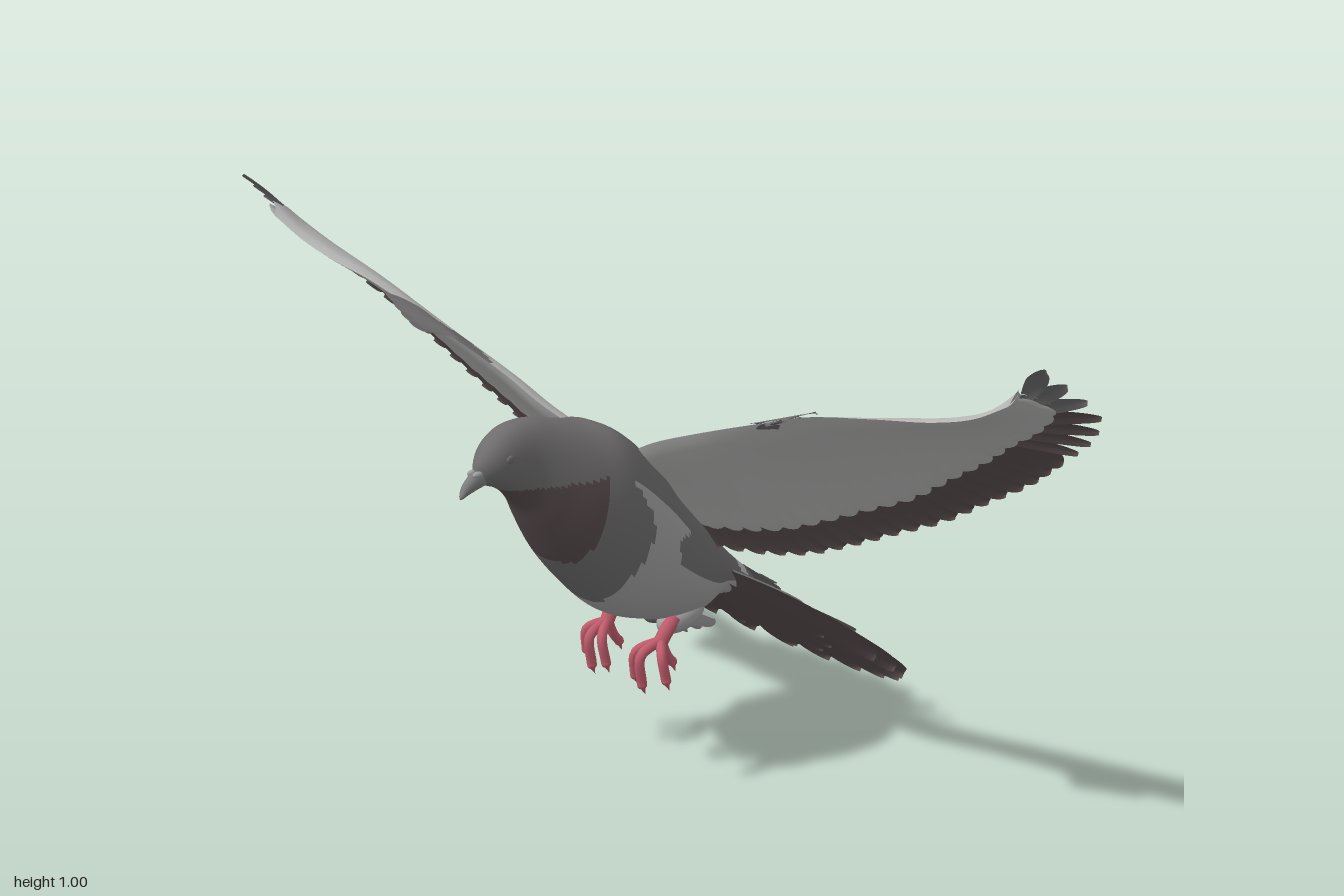
import * as THREE from 'three';
import { mergeVertices } from 'three/addons/utils/BufferGeometryUtils.js';

const V = (x, y, z) => new THREE.Vector3(x, y, z);
const mat = (name, color) =>
  Object.assign(new THREE.MeshStandardMaterial({ color, side: THREE.DoubleSide }), { name });
const curve = (pts) => new THREE.CatmullRomCurve3(pts.map((p) => V(...p)));

// Grid surface f(u, v); pick chooses a material slot for each cell
function surface(f, nu, nv, pick = () => 0, flip = false) {
  const pos = [], slots = [];
  for (let i = 0; i <= nu; i++)
    for (let j = 0; j <= nv; j++) pos.push(...f(i / nu, j / nv).toArray());
  for (let i = 0; i < nu; i++) {
    for (let j = 0; j < nv; j++) {
      const a = i * (nv + 1) + j, b = a + nv + 1;
      const u = (i + 0.5) / nu, v = (j + 0.5) / nv;
      const tris = flip ? [a, a + 1, b, b, a + 1, b + 1] : [a, b, a + 1, b, b + 1, a + 1];
      const k = pick(u, v, f(u, v));
      (slots[k] = slots[k] || []).push(...tris);
    }
  }
  let g = new THREE.BufferGeometry();
  g.setAttribute('position', new THREE.Float32BufferAttribute(pos, 3));
  const index = [], groups = [];
  slots.forEach((s, k) => {
    groups.push([index.length, s.length, k]);
    for (const n of s) index.push(n);
  });
  g.setIndex(index);
  g = mergeVertices(g, 1e-5);
  g.clearGroups();
  groups.forEach((q) => g.addGroup(...q));
  g.computeVertexNormals();
  return g;
}

// Thin feather from base to tip, w half wide, tapering over the part after 'round'
function feather(base, tip, w, n, round, arch = () => 0, tilt = 0.003) {
  const dir = tip.clone().sub(base).normalize();
  const side = dir.clone().cross(n).normalize();
  return surface((u, q) => {
    const t = 1 - (1 - q) * (1 - q);
    const s = u * 2 - 1, e = Math.max(0, (t - round) / (1 - round));
    const half = w * (0.35 + 0.65 * Math.min(1, t * 1.7)) * Math.sqrt(Math.max(0, 1 - e * e));
    return base.clone().lerp(tip, t).addScaledVector(side, half * s)
      .addScaledVector(n, arch(t) + tilt * s + 0.002 * (1 - s * s));
  }, 4, 16);
}

function mirrored(g) {
  const m = g.clone().scale(-1, 1, 1), ix = m.index;
  for (let i = 0; i < ix.count; i += 3) {
    const a = ix.getX(i);
    ix.setX(i, ix.getX(i + 1));
    ix.setX(i + 1, a);
  }
  return m;
}

export function createModel() {
  const slate = mat('slate plumage', 0x6e6c6c), belly = mat('belly grey', 0xa0a0a0);
  const breast = mat('breast brown', 0x574b4d), pale = mat('pale coverts', 0xb6b7b5);
  const flight = mat('flight feather brown', 0x574b4b);
  const pink = mat('foot pink', 0xc05c6c), horn = mat('beak horn', 0x7c7d7d);

  const bird = new THREE.Group();
  bird.name = 'bird';
  const add = (name, g, m) => {
    const mesh = new THREE.Mesh(g, m);
    mesh.name = name;
    bird.add(mesh);
  };
  const pair = (name, g, m) => {
    add(name + 'Left', g, m);
    add(name + 'Right', mirrored(g), m);
  };

  // Body: rings between a back line and a belly line; each row is
  // [back z, back y, belly z, belly y, half width]
  const rows = [
    [0.470, 0.670, 0.468, 0.655, 0.003], [0.460, 0.690, 0.452, 0.642, 0.020],
    [0.437, 0.716, 0.430, 0.632, 0.035], [0.400, 0.735, 0.402, 0.612, 0.045],
    [0.350, 0.737, 0.376, 0.580, 0.056], [0.300, 0.725, 0.348, 0.530, 0.076],
    [0.240, 0.708, 0.300, 0.455, 0.104], [0.180, 0.690, 0.240, 0.385, 0.125],
    [0.100, 0.620, 0.170, 0.320, 0.136], [0.040, 0.540, 0.090, 0.287, 0.132],
    [-0.020, 0.478, 0.030, 0.270, 0.116], [-0.080, 0.420, -0.030, 0.262, 0.092],
    [-0.140, 0.362, -0.090, 0.275, 0.066], [-0.210, 0.300, -0.180, 0.255, 0.044],
    [-0.270, 0.235, -0.255, 0.215, 0.008],
  ];
  const back = curve(rows.map((r) => [r[4], r[1], r[0]]));
  const keel = curve(rows.map((r) => [0, r[3], r[2]]));
  const bodyAt = (u, v) => {
    const a = v * Math.PI * 2, t = back.getPoint(u), b = keel.getPoint(u), w = Math.max(t.x, 0.002);
    const s = Math.sin(a), shoulder = THREE.MathUtils.smoothstep(u, 0.4, 0.5) * Math.max(0, Math.cos(a));
    t.x = 0;
    const p = b.lerp(t, 0.5 + 0.5 * Math.cos(a));
    p.x = Math.sign(s) * Math.pow(Math.abs(s), 0.88 - 0.2 * shoulder) * w;
    return p;
  };
  const bodyColour = (u, v, p) => {
    const up = Math.cos(v * Math.PI * 2);
    if (p.y > 0.465 && p.y < 0.625 && p.z > 0.245 + (0.625 - p.y) * 0.27) return 2;
    if (p.z < -0.155 && p.z > -0.185 && up > 0.4) return 3;
    if (p.z < 0.1 && up > -0.1 && !(p.y > 0.475 && up < 0.5)) return 0;
    const edge = 0.19 + 0.025 * Math.cos((p.y - 0.38) * 22);
    return p.z < edge && up < 0.5 ? 1 : 0;
  };
  add('body', surface(bodyAt, 140, 88, bodyColour, true), [slate, belly, breast, pale]);

  // Beak: hooked taper with a cere on top
  const beakLine = curve([[0, 0.662, 0.445], [0, 0.652, 0.475], [0, 0.641, 0.495], [0, 0.63, 0.505]]);
  add('beak', surface((u, v) => {
    const a = v * Math.PI * 2, r = 0.019 * Math.pow(1 - u, 0.6) + 0.001;
    return beakLine.getPoint(u).add(V(Math.sin(a) * r * 0.8, Math.cos(a) * r, 0));
  }, 12, 16, undefined, true), horn);
  pair('cere', new THREE.SphereGeometry(0.008, 12, 8).scale(0.8, 0.7, 1.5).translate(0.007, 0.666, 0.468), belly);
  pair('eyelid', new THREE.SphereGeometry(0.009, 14, 10).scale(0.4, 0.8, 1).translate(0.0375, 0.688, 0.42), slate);

  // Wings: span between a leading edge and the line of feather tips
  const lead = curve([[0.03, 0.625, 0.13], [0.14, 0.682, 0.17], [0.25, 0.725, 0.172], [0.4, 0.78, 0.185],
    [0.5, 0.815, 0.193], [0.62, 0.835, 0.177], [0.74, 0.857, 0.177], [0.82, 0.882, 0.182], [0.89, 0.92, 0.192]]);
  const trail = curve([[0.09, 0.405, -0.06], [0.2, 0.418, -0.077], [0.3, 0.445, -0.08], [0.4, 0.49, -0.077],
    [0.5, 0.54, -0.072], [0.6, 0.59, -0.065], [0.7, 0.655, -0.045], [0.8, 0.72, -0.02], [0.88, 0.785, 0.02],
    [0.95, 0.84, 0.055], [1, 0.91, 0.11], [0.985, 0.955, 0.16], [0.965, 0.995, 0.21]]);
  const wingUp = V(-0.29, 0.7, -0.65).normalize();
  const camber = (v) => 0.015 * Math.sin(Math.PI * v);
  const chord = (u, v) => lead.getPointAt(u).lerp(trail.getPointAt(u), v);
  const wingSide = (sign) => (u, w) => {
    const reach = 0.79 - 0.13 * THREE.MathUtils.smoothstep(u, 0.4, 0.9) - 0.42 * THREE.MathUtils.smoothstep(u, 0.88, 1);
    const v = w * (reach + 0.025 * Math.abs(Math.sin(u * 24 * Math.PI)));
    const thick = 0.006 * Math.min(1, v * 8) * (w > 0.97 ? 0.5 : 1) + 0.03 * (1 - u) * Math.sqrt(v) * (1 - w);
    return chord(u, v).addScaledVector(wingUp, camber(v) + sign * thick);
  };
  const upperColour = (u, w, p) => {
    if (p.x < 0.09 || w < 0.16 * Math.sin((u - 0.3) * 14) * (u > 0.3 && u < 0.52)) return 1;
    return w > 0.85 - 0.08 * Math.sin(u * 9) && u < 0.35 ? 1 : 0;
  };
  pair('wingCoverts', surface(wingSide(1), 120, 24, upperColour), [pale, slate]);
  pair('underwing', surface(wingSide(-1), 120, 20, undefined, true), pale);

  // Flight feathers along the trailing edge, narrow and pointed at the wing tip
  const count = 27;
  for (let i = 0; i < count; i++) {
    const u = i / (count - 1), outer = u > 0.74;
    const g = feather(chord(u * (outer ? 0.92 : 0.97), 0.4), trail.getPointAt(u), outer ? 0.018 : 0.034, wingUp,
      outer ? 0.25 : 0.82, (t) => camber(0.4 + 0.6 * t));
    pair((outer ? 'primary' : 'secondary') + i, g, u > 0.9 ? slate : flight);
  }
  // Thumb feathers on the leading edge
  for (let i = 0; i < 4; i++)
    pair('thumbFeather' + i, feather(V(0.37 + i * 0.015, 0.765, 0.175), V(0.535 - i * 0.03, 0.83 - i * 0.012, 0.21 + i * 0.007),
      0.02, V(-0.3, 0.8, 0.1).normalize(), 0.5, () => 0.004), slate);

  // Tail fan
  const root = V(0, 0.33, -0.1), tailUp = V(0, 0.78, -0.625);
  const tailTip = (a, len) => root.clone().add(V(Math.sin(a) * len, -0.625 * Math.cos(a) * len, -0.78 * Math.cos(a) * len));
  for (let i = -6; i <= 6; i++) {
    const a = i * 0.178, out = Math.abs(i) / 6, len = 0.514 - 0.137 * out * out;
    add('tailFeather' + (i + 6), feather(root, tailTip(a, len), 0.053, tailUp, 0.86,
      (t) => 0.012 * Math.sin(Math.PI * t) - 0.02 * out * out * t, 0.009), flight);
  }
  // Tail coverts: lifted ones above the fan and a shorter layer below it
  for (let i = -3; i <= 3; i++) {
    add('tailCovert' + (i + 3), feather(root, tailTip(i * 0.16, 0.3 + 0.02 * Math.abs(i)), 0.028, tailUp, 0.75,
      (t) => 0.022 + 0.026 * t - 0.004 * Math.abs(i)), Math.abs(i) === 1 || !i ? flight : slate);
    add('undertailCovert' + (i + 3), feather(root, tailTip(i * 0.3, 0.39 - 0.04 * Math.abs(i)), 0.045, tailUp, 0.75,
      (t) => -0.012 - 0.008 * t), flight);
  }
  add('rumpFeather', feather(tailTip(0, 0.1), tailTip(0, 0.24), 0.034, tailUp, 0.7, () => 0.046), slate);
  add('rumpPatch', feather(tailTip(0, 0.17), tailTip(0, 0.22), 0.026, tailUp, 0.6, () => 0.052), horn);
  pair('tailSideFeather', feather(root, tailTip(1.15, 0.21), 0.034, tailUp, 0.65, () => 0.012), pale);

  // Thighs, with feather tufts trailing behind them
  pair('thigh', new THREE.SphereGeometry(0.036, 20, 14).scale(0.85, 0.75, 1.6).rotateX(0.15).translate(0.058, 0.282, 0.02), belly);
  pair('vent', new THREE.SphereGeometry(0.03, 16, 12).scale(0.9, 0.7, 1.6).translate(0.022, 0.258, -0.015), slate);
  for (let i = 0; i < 3; i++)
    pair('thighFeather' + i, feather(V(0.03 + i * 0.022, 0.275, 0.03), V(0.025 + i * 0.025, 0.228 + i * 0.014, -0.03 - i * 0.012),
      0.02, V(0.5, 0.8, -0.3).normalize(), 0.6), slate);

  // Legs with curled toes
  const tube = (pts, r) => new THREE.TubeGeometry(curve(pts), 12, r, 8);
  pair('leg', tube([[0.07, 0.29, 0.05], [0.072, 0.272, 0.072], [0.07, 0.248, 0.09]], 0.014), pink);
  const toes = [[0.038, 0.188, 0.122], [0.066, 0.18, 0.132], [0.105, 0.192, 0.108], [0.07, 0.203, 0.055]];
  toes.forEach(([x, y, z], i) => {
    const mid = i < 3 ? [(x + 0.07) / 2 + (x - 0.07) * 0.3, 0.238, z + 0.004] : [0.07, 0.222, 0.07];
    pair('toe' + i, tube([[0.07, 0.256, 0.085], mid, [x, y, z]], 0.0095), pink);
    pair('toeTip' + i, new THREE.SphereGeometry(0.0097, 10, 8).translate(x, y, z), pink);
    pair('claw' + i, new THREE.ConeGeometry(0.007, 0.024, 8).rotateX(Math.PI + 0.4).translate(x, y - 0.012, z - 0.004), pink);
  });
  return bird;
}
